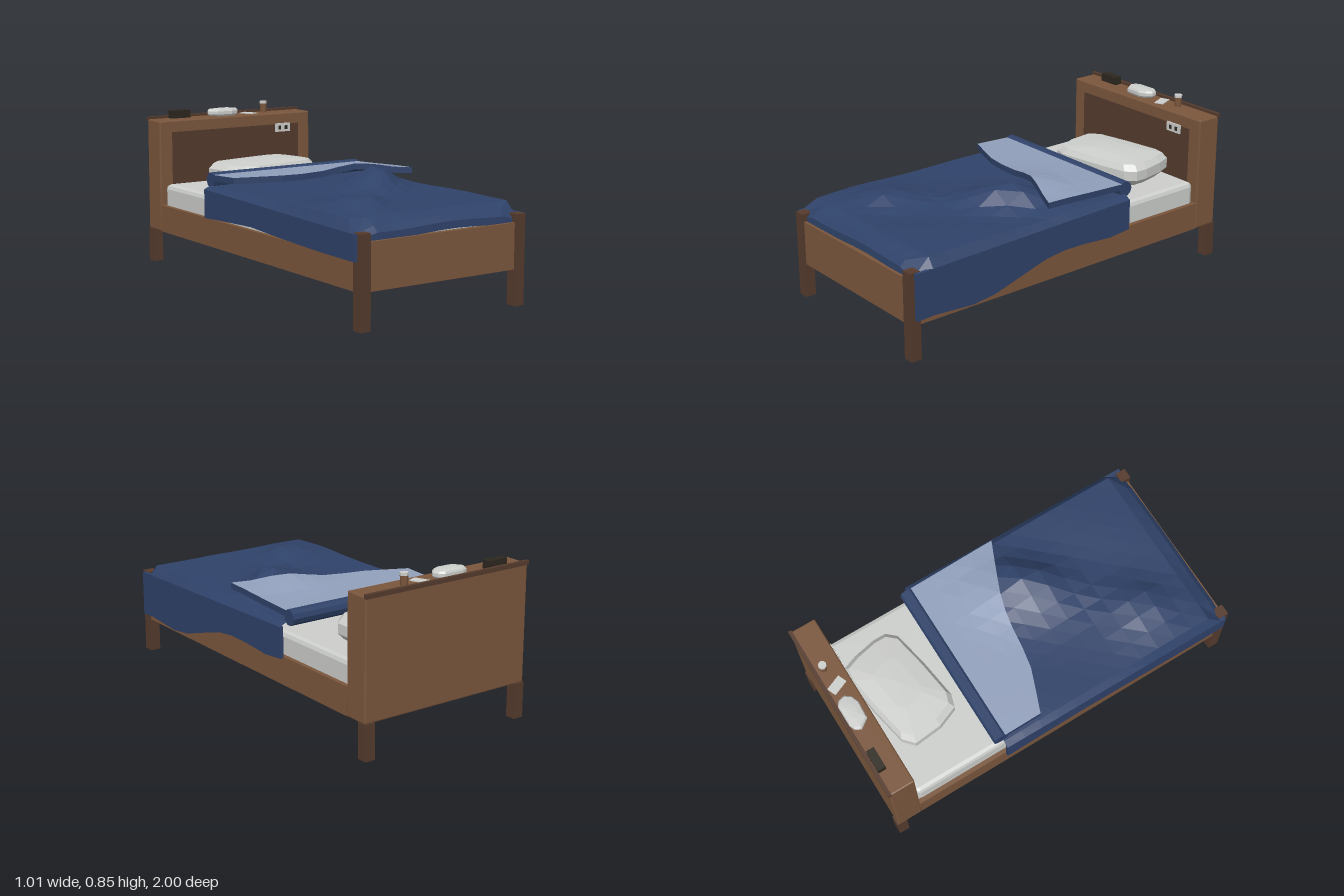
import * as THREE from 'three';
import { RoundedBoxGeometry } from 'three/addons/geometries/RoundedBoxGeometry.js';

const mat = (name, color, side = THREE.FrontSide) =>
  new THREE.MeshStandardMaterial({ name, color, side, flatShading: true });

// Grid surface: at(i, j) gives a point; faces look along dj x di
function sheet(nu, nv, at) {
  const pos = [], idx = [];
  for (let j = 0; j <= nv; j++) for (let i = 0; i <= nu; i++) pos.push(...at(i, j));
  for (let j = 0; j < nv; j++) for (let i = 0; i < nu; i++) {
    const a = j * (nu + 1) + i, b = a + nu + 1;
    idx.push(a, b, a + 1, b, b + 1, a + 1);
  }
  const g = new THREE.BufferGeometry();
  g.setAttribute('position', new THREE.Float32BufferAttribute(pos, 3));
  g.setIndex(idx);
  g.computeVertexNormals();
  return g;
}

// Cushion: an outline in x/z, scaled through stacked rings
function cushion(outline, y0, h) {
  const n = outline.length;
  const cx = outline.reduce((s, p) => s + p[0], 0) / n;
  const cz = outline.reduce((s, p) => s + p[1], 0) / n;
  const rings = [[0, 0], [0.88, 0], [1, 0.25], [1, 0.65], [0.9, 0.88], [0.45, 0.97], [0, 1]];
  return sheet(n, rings.length - 1, (i, j) => {
    const [x, z] = outline[i % n], [s, t] = rings[j];
    return [cx + (x - cx) * s, y0 + h * t, cz + (z - cz) * s];
  });
}

const lerp = THREE.MathUtils.lerp;
const bump = (d, w) => Math.exp(-((d / w) ** 2));

// Height of the blanket top, with one diagonal crumpled ridge
function blanketHeight(x, z) {
  const s = (x - 0.2) * 0.737 + (z - 0.2) * 0.676;
  const t = (x - 0.2) * -0.676 + (z - 0.2) * 0.737;
  const amp = 0.105 * bump(t, 0.22) + 0.06 * bump(t - 0.6, 0.17);
  return 0.5 + amp * bump(s, s > 0 ? 0.1 : 0.16) + 0.005 * Math.sin(8 * x + 3 * z) * Math.sin(6 * z + 1);
}

export function createModel() {
  const model = new THREE.Group();
  model.name = 'bed';
  const wood = mat('wood', 0x7b573d);
  const darkWood = mat('dark wood', 0x553b2d);
  const blue = mat('blue blanket', 0x2f4269, THREE.DoubleSide);
  const lining = mat('blanket lining', 0x919fbb, THREE.DoubleSide);
  const linen = mat('linen', 0xcdcfcc);
  const black = mat('near black', 0x2d281f);
  const underside = mat('dark underside', 0x1e1a14);

  const add = (name, geo, m, x = 0, y = 0, z = 0) => {
    const mesh = new THREE.Mesh(geo, m);
    mesh.name = name;
    mesh.position.set(x, y, z);
    model.add(mesh);
    return mesh;
  };
  // Box from its min and max corners
  const box = (name, m, x0, x1, y0, y1, z0, z1, r = 0) => {
    const s = [x1 - x0, y1 - y0, z1 - z0];
    const g = r ? new RoundedBoxGeometry(...s, 1, r) : new THREE.BoxGeometry(...s);
    return add(name, g, m, (x0 + x1) / 2, (y0 + y1) / 2, (z0 + z1) / 2);
  };

  // Headboard
  box('headboard', wood, -0.485, 0.485, 0.18, 0.783, -0.992, -0.855, 0.007);
  box('headboardPanel', darkWood, -0.41, 0.41, 0.4, 0.72, -0.857, -0.853);
  box('headboardLedge', darkWood, -0.487, 0.487, 0.775, 0.797, -1, -0.982);
  box('socketPlate', linen, 0.252, 0.35, 0.677, 0.725, -0.854, -0.846);
  for (const x of [0.28, 0.322]) box('socket', black, x - 0.009, x + 0.009, 0.69, 0.711, -0.848, -0.844);

  // Frame
  for (const s of [-1, 1]) {
    const pair = (name, m, a, b, ...r) => box(name, m, Math.min(s * a, s * b), Math.max(s * a, s * b), ...r);
    pair('frontLeg', darkWood, 0.43, 0.487, 0, 0.451, 0.943, 1);
    pair('backLeg', darkWood, 0.43, 0.485, 0, 0.182, -0.998, -0.942);
    pair('sideRail', wood, 0.457, 0.483, 0.18, 0.325, -0.857, 0.95);
  }
  box('footboard', wood, -0.432, 0.432, 0.18, 0.41, 0.96, 0.99);
  box('baseBoard', underside, -0.458, 0.458, 0.212, 0.225, -0.856, 0.96);
  for (let i = 0; i < 8; i++) {
    const z = -0.75 + i * 0.225;
    box('slat', darkWood, -0.458, 0.458, 0.195, 0.213, z - 0.03, z + 0.03);
  }

  // Mattress and pillow
  box('mattress', linen, -0.46, 0.46, 0.225, 0.44, -0.85, 0.95, 0.025);
  add('pillow', cushion([[-0.255, -0.73], [-0.2, -0.78], [0, -0.82], [0.2, -0.85], [0.27, -0.84], [0.3, -0.76],
    [0.325, -0.64], [0.325, -0.57], [0.28, -0.52], [0.08, -0.48], [-0.13, -0.45], [-0.195, -0.47], [-0.24, -0.58]],
  0.44, 0.13), linen);

  // Blanket top, sloping over the sides and the foot
  const xs = [-0.505, ...Array.from({ length: 11 }, (_, i) => -0.47 + i * 0.094), 0.505];
  const zs = [...Array.from({ length: 13 }, (_, i) => -0.35 + i * 0.1025), 0.945, 0.973, 0.975];
  const footY = { 13: 0.475, 14: 0.448, 15: 0.412 };
  const rimY = (z) => lerp(0.48, 0.448, (z + 0.35) / 1.325);
  add('blanketTop', sheet(12, zs.length - 1, (i, j) => {
    const x = xs[i], z = zs[j], edge = i === 0 || i === 12;
    let y = footY[j] ?? blanketHeight(x, z);
    if (footY[j]) y += 0.006 * Math.sin(9 * x + 1) - (Math.abs(x) > 0.4 ? 0.03 : 0);
    if (edge) y = Math.min(y, rimY(z));
    return [x, y, z];
  }), blue);

  // Hanging sides with wavy hems, as [z, y] from foot to head
  const hems = {
    1: [[0.975, 0.21], [0.88, 0.215], [0.65, 0.2], [0.52, 0.215], [0.35, 0.265], [0.2, 0.308], [0.08, 0.322], [-0.05, 0.32], [-0.22, 0.308], [-0.35, 0.32]],
    '-1': [[0.975, 0.322], [0.7, 0.325], [0.4, 0.335], [0.1, 0.35], [-0.15, 0.34], [-0.35, 0.33]],
  };
  for (const s of [-1, 1]) {
    const shape = new THREE.Shape([[-0.35, rimY(-0.35)], ...[...hems[s]].reverse(), [0.975, rimY(0.975)]]
      .map(([z, y]) => new THREE.Vector2(z, y)));
    const g = new THREE.ExtrudeGeometry(shape, { depth: 0.018, bevelEnabled: false });
    g.rotateY(-Math.PI / 2);
    add('blanketSide', g, blue, s > 0 ? 0.505 : -0.487);
  }

  // Folded-back flap: lining on top, blue edge and underside
  const hem = new THREE.SplineCurve([[-0.46, -0.13], [-0.33, -0.08], [-0.2, -0.035], [0, -0.01], [0.15, 0.02], [0.3, 0.08], [0.46, 0.15]]
    .map((p) => new THREE.Vector2(...p)));
  const N = 10, M = 4;
  const flap = (drop) => (i, j) => {
    const p = hem.getPoint(i / N), z = lerp(-0.345, p.y, j / M);
    const y = 0.553 + 0.045 * (z + 0.33) + 0.036 * bump(p.x - 0.2, 0.16) * bump(z - 0.03, 0.14);
    return [p.x, y - drop, z];
  };
  add('flapLining', sheet(N, M, flap(0)), lining);
  add('flapUnderside', sheet(N, M, flap(0.032)), blue);
  add('flapHem', sheet(N, 1, (i, k) => flap(k * 0.032)(i, M)), blue);
  for (const i of [0, N]) add('flapEnd', sheet(M, 1, (j, k) => flap(k * 0.032)(i, j)), blue);
  const roll = new THREE.CylinderGeometry(0.041, 0.041, 0.92, 10);
  roll.rotateZ(Math.PI / 2);
  add('blanketRoll', roll, blue, 0, 0.522, -0.36);

  // Things on the headboard shelf
  box('smallBox', black, -0.362, -0.248, 0.783, 0.826, -0.98, -0.938);
  add('smallCushion', cushion([[-0.135, -0.94], [-0.12, -0.97], [-0.09, -0.983], [0.02, -0.983], [0.045, -0.965],
    [0.053, -0.93], [0.03, -0.9], [-0.01, -0.885], [-0.1, -0.89]], 0.783, 0.042), linen);
  box('card', linen, 0.1, 0.15, 0.783, 0.788, -0.975, -0.888).rotation.y = 0.4;
  add('cup', new THREE.CylinderGeometry(0.02, 0.018, 0.05, 8), wood, 0.232, 0.808, -0.945);
  add('cupRim', new THREE.CylinderGeometry(0.021, 0.021, 0.014, 8), linen, 0.232, 0.84, -0.945);
  return model;
}
